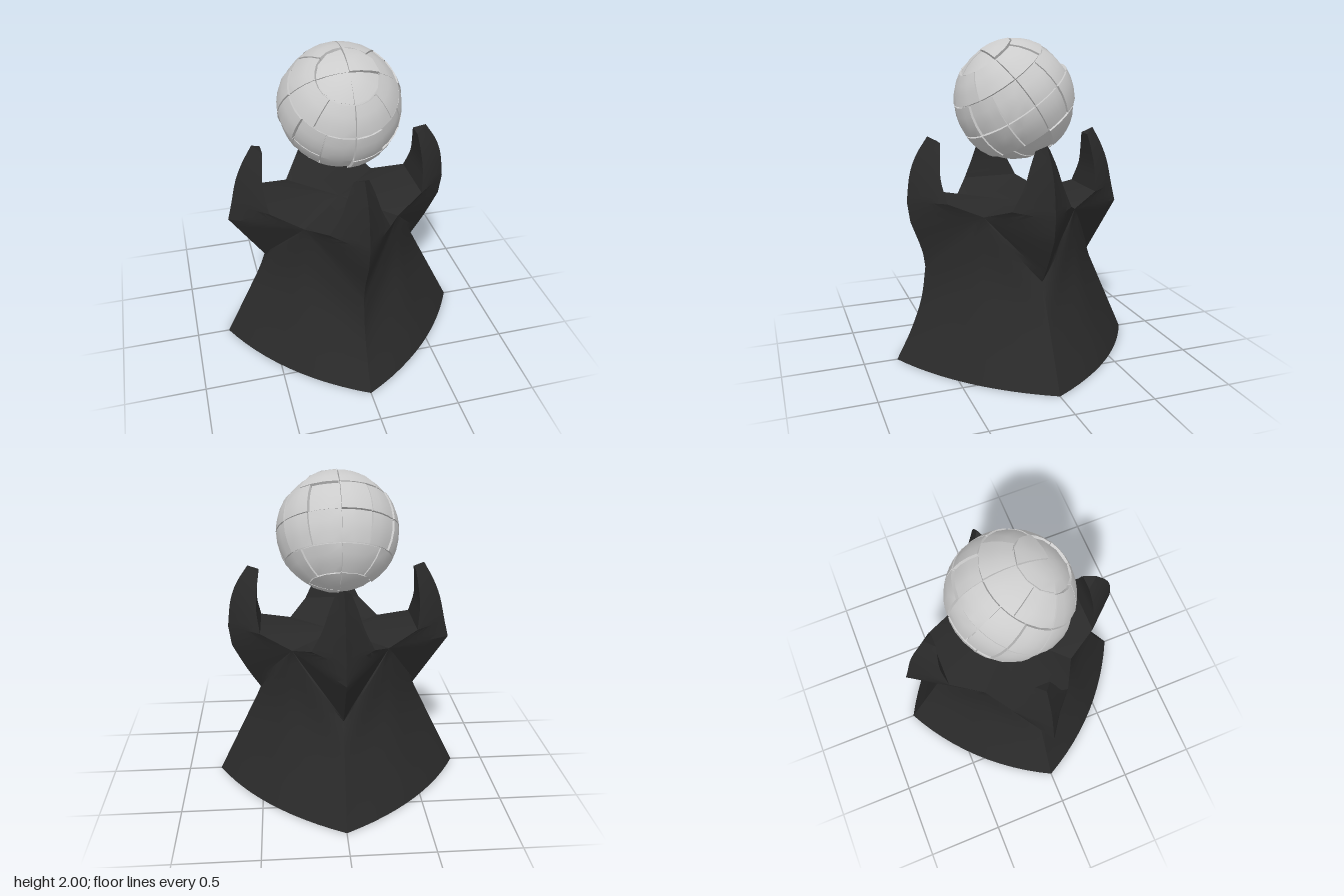
import * as THREE from 'three';
import { mergeGeometries, toCreasedNormals } from 'three/addons/utils/BufferGeometryUtils.js';

const v = (x, y, z = 0) => new THREE.Vector3(x, y, z);
const curve = (pts) => new THREE.CatmullRomCurve3(pts.map((p) => v(...p)), false, 'centripetal');

// Corner ridges (radius, height): foot to waist, waist to hip, hip to shoulder, shoulder to tip
const straightFoot = [[0.79, 0], [0.645, 0.3], [0.5, 0.6]];
const curvedFoot = [[0.79, 0], [0.69, 0.2], [0.62, 0.4], [0.59, 0.6]];
const sharpClaw = [[[0.705, 0.92], [0.695, 1.03]], [[0.695, 1.03], [0.655, 1.2], [0.61, 1.31], [0.545, 1.425]]];
const roundClaw = [[[0.675, 0.9], [0.693, 1.03]], [[0.693, 1.03], [0.67, 1.2], [0.63, 1.31], [0.555, 1.425]]];
sharpClaw[0][0] = [0.722, 0.92];
const ridges = [
  [straightFoot, [[0.5, 0.6], [0.59, 0.74], [0.675, 0.9]], ...roundClaw],             // left, +x
  [[[0.79, 0], [0.655, 0.3], [0.52, 0.6]], [[0.52, 0.6], [0.722, 0.92]], ...sharpClaw], // back, -z
  [straightFoot, [[0.5, 0.6], [0.722, 0.92]], ...sharpClaw],                           // right, -x
  [curvedFoot, [[0.59, 0.6], [0.605, 0.7], [0.675, 0.9]], ...roundClaw],               // front, +z
];

// Edges shared by all four sectors: diagonal flank, valley, shoulder and claw rim
const valley = [0.295, 0.97, 0.295];
const shoulder = [0.487, 1.04, 0.185];
const edges = [
  [[0.457, 0, 0.457], [0.375, 0.3, 0.375], [0.305, 0.65, 0.305], valley],
  [valley, valley],
  [valley, shoulder],
  [shoulder, [0.508, 1.18, 0.12], [0.5, 1.3, 0.08], [0.488, 1.387, 0.045]],
];
const steps = [12, 6, 2, 12];
const COLS = 6;

function sectorGeometry(ridge) {
  const tris = [];
  const tri = (...pts) => pts.forEach((p) => tris.push(p.x, p.y, p.z));
  const quad = (a, b, c, d) => { tri(a, b, c); tri(a, c, d); };
  const mirror = (p) => v(p.x, p.y, -p.z);
  const rows = [];

  // Cross-sections from one flank, over the ridge, to the other flank
  ridge.forEach((points, stage) => {
    const keel = curve(points);
    const edge = stage === 1 ? null : curve(edges[stage]);
    for (let i = stage ? 1 : 0; i <= steps[stage]; i++) {
      const t = i / steps[stage];
      const k = keel.getPoint(t);
      const e = edge ? edge.getPoint(t) : v(...valley);
      const mid = k.clone().add(e).multiplyScalar(0.5);
      if (stage === 0) mid.set(e.x + k.x / 4, mid.y, e.z - k.x / 4);
      const half = new THREE.QuadraticBezierCurve3(e, mid, k).getPoints(COLS);
      rows.push([...half, ...half.slice(0, -1).reverse().map(mirror)]);
    }
  });
  const last = 2 * COLS;

  // Outer skin
  for (let i = 0; i < rows.length - 1; i++)
    for (let j = 0; j < last; j++)
      quad(rows[i][j], rows[i][j + 1], rows[i + 1][j + 1], rows[i + 1][j]);

  // Inner face of the claw and its blunt tip
  const start = rows.length - 1 - steps[3];
  for (let i = start; i < rows.length - 1; i++)
    quad(rows[i][last], rows[i][0], rows[i + 1][0], rows[i + 1][last]);
  const top = rows[rows.length - 1];
  tri(top[last], top[0], top[COLS]);

  // Quarter of the floor between the claws
  const rim = [v(...valley), v(...shoulder), mirror(v(...shoulder)), mirror(v(...valley))];
  for (let j = 0; j < 3; j++) tri(v(0, 0.98), rim[j], rim[j + 1]);

  // Quarter of the underside
  for (let j = 0; j < last; j++) tri(v(0, 0), rows[0][j + 1], rows[0][j]);

  const geometry = new THREE.BufferGeometry();
  geometry.setAttribute('position', new THREE.Float32BufferAttribute(tris, 3));
  return geometry;
}

function createPedestal() {
  const sectors = ridges.map((ridge, i) => sectorGeometry(ridge).rotateY(i * Math.PI / 2));
  const geometry = toCreasedNormals(mergeGeometries(sectors), 0.45);
  const mesh = new THREE.Mesh(geometry, new THREE.MeshStandardMaterial({ color: 0x2a2a2a }));
  mesh.name = 'clawedPedestal';
  return mesh;
}

// A box bent into a spherical plate
function plateGeometry(phi, dPhi, theta, dTheta, radius) {
  const geometry = new THREE.BoxGeometry(1, 1, 1, 3, 3, 1);
  const pos = geometry.attributes.position;
  for (let i = 0; i < pos.count; i++) {
    const p = phi + (pos.getX(i) + 0.5) * dPhi;
    const t = theta + (0.5 - pos.getY(i)) * dTheta;
    const r = pos.getZ(i) > 0 ? radius : 0.33;
    pos.setXYZ(i, r * Math.sin(t) * Math.sin(p), r * Math.cos(t), r * Math.sin(t) * Math.cos(p));
  }
  geometry.deleteAttribute('uv');
  return geometry;
}

function createOrb() {
  let seed = 7;
  const random = () => (seed = (seed * 16807) % 2147483647) / 2147483647;
  const orb = new THREE.Group();
  orb.name = 'orb';
  const material = new THREE.MeshStandardMaterial({ color: 0xcccccc });

  const core = new THREE.Mesh(new THREE.SphereGeometry(0.35, 32, 20), material);
  core.name = 'orbCore';
  orb.add(core);

  // Bands of plates with slightly different heights
  const plates = [];
  const counts = [4, 8, 12, 12, 8, 4];
  const band = Math.PI / counts.length;
  counts.forEach((n, row) => {
    const step = 2 * Math.PI / n;
    for (let i = 0; i < n; i++) {
      const radius = 0.362 + 0.018 * random();
      plates.push(plateGeometry(i * step + 0.012, step - 0.024, row * band + 0.01, band - 0.02, radius));
    }
  });
  const shell = new THREE.Mesh(toCreasedNormals(mergeGeometries(plates), 0.5), material);
  shell.name = 'orbPlates';
  orb.add(shell);

  orb.rotation.x = 0.61;
  orb.position.y = 1.625;
  return orb;
}

export function createModel() {
  const model = new THREE.Group();
  model.name = 'orbOnClawedPedestal';
  model.add(createPedestal(), createOrb());
  return model;
}
